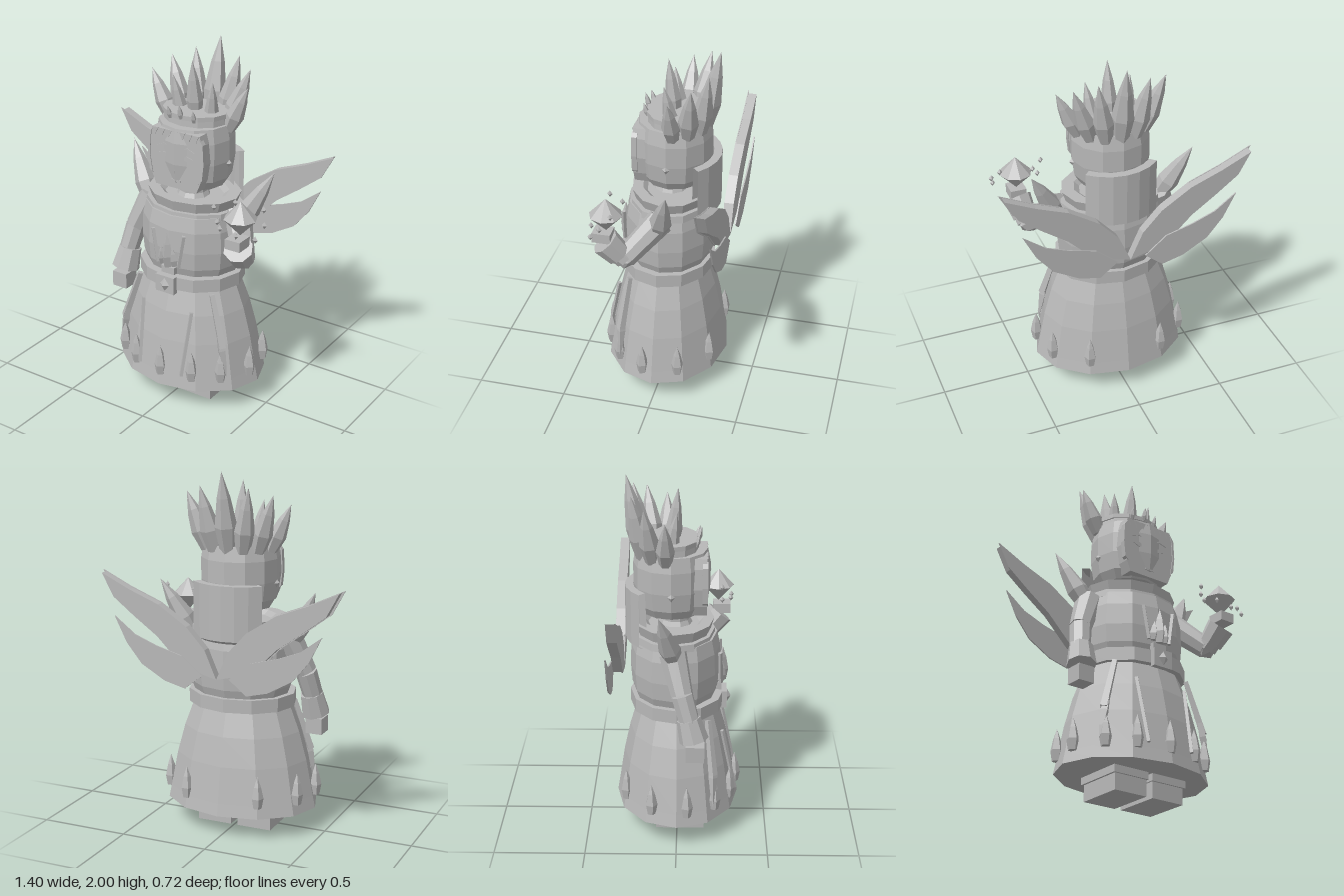
import * as THREE from 'three';

const V = (x, y, z) => new THREE.Vector3(x, y, z);

export function createModel() {
  const model = new THREE.Group();
  const grey = new THREE.MeshStandardMaterial({ color: 0xb8b8b8, flatShading: true, side: THREE.DoubleSide });
  grey.name = 'stone grey';

  const add = (name, geo, x = 0, y = 0, z = 0) => {
    const m = new THREE.Mesh(geo, grey);
    m.name = name;
    m.position.set(x, y, z);
    model.add(m);
    return m;
  };
  const box = (name, w, h, d, x, y, z) => add(name, new THREE.BoxGeometry(w, h, d), x, y, z);

  // closed faceted solid from [radius, y] pairs, squashed in depth
  const turned = (name, profile, depth, z = 0, sides = 12) => {
    const pts = [[0, profile[0][1]], ...profile, [0, profile.at(-1)[1]]].map(([r, y]) => new THREE.Vector2(r, y));
    return add(name, new THREE.LatheGeometry(pts, sides).scale(1, 1, depth), 0, 0, z);
  };

  // crystal spike that swells a third of the way up, aimed from base to tip
  const spike = (name, base, tip, r, sides = 6) => {
    const h = base.distanceTo(tip);
    const pts = [[0, 0], [r * 0.7, 0], [r, h * 0.32], [r * 0.6, h * 0.68], [0, h]].map(p => new THREE.Vector2(...p));
    const m = add(name, new THREE.LatheGeometry(pts, sides), base.x, base.y, base.z);
    m.quaternion.setFromUnitVectors(V(0, 1, 0), tip.clone().sub(base).normalize());
    return m;
  };

  // tapered limb piece between two points
  const limb = (name, a, b, ra, rb, sides = 8) => {
    const m = add(name, new THREE.CylinderGeometry(rb, ra, a.distanceTo(b), sides));
    m.position.copy(a).add(b).multiplyScalar(0.5);
    m.quaternion.setFromUnitVectors(V(0, 1, 0), b.clone().sub(a).normalize());
    return m;
  };
  const gem = (name, rx, ry, rz, x, y, z) =>
    add(name, new THREE.OctahedronGeometry(1).scale(rx, ry, rz), x, y, z);

  // flat plate cut from an outline, mirrored when s = -1
  const plate = (name, pts, thick, z, s = 1, curved = false) => {
    const p = pts.map(([x, y]) => new THREE.Vector2(x * s, y));
    const shape = new THREE.Shape(curved ? new THREE.SplineCurve([...p, p[0]]).getPoints(24) : p);
    return add(name, new THREE.ExtrudeGeometry(shape, { depth: thick, bevelEnabled: false }), 0, 0, z);
  };

  // gown, belt, bodice and collar
  turned('skirt', [[0.44, 0.13], [0.425, 0.2], [0.385, 0.4], [0.34, 0.56], [0.29, 0.69], [0.27, 0.74]], 0.78);
  turned('belt', [[0.307, 0.7], [0.307, 0.775]], 0.85);
  turned('bodice', [[0.27, 0.77], [0.29, 0.82], [0.3, 0.92], [0.295, 1.04], [0.275, 1.12]], 0.83, -0.01);
  turned('collarBand', [[0.285, 1.1], [0.28, 1.14]], 0.8, -0.02);
  turned('collar', [[0.245, 1.13], [0.27, 1.2], [0.2, 1.2], [0.17, 1.175]], 0.82, -0.02);
  turned('neck', [[0.1, 1.16], [0.08, 1.2], [0.08, 1.28]], 1, -0.01, 10);
  box('buckle', 0.12, 0.1, 0.03, 0, 0.73, 0.26);
  gem('buckleGem', 0.03, 0.04, 0.022, 0, 0.73, 0.276);
  box('bodiceClasp', 0.085, 0.04, 0.03, 0, 0.805, 0.23);

  // standing panel behind the head
  const panel = [[0.25, 1.08], [0.285, 1.1], [0.285, 1.4], [0.24, 1.4], [0.225, 1.1], [0.25, 1.08]];
  add('backPanel', new THREE.LatheGeometry(panel.map(p => new THREE.Vector2(...p)), 6, Math.PI * 0.75, Math.PI * 0.5));

  // chest crystals
  spike('chestCrystal', V(0, 0.83, 0.245), V(0, 1.03, 0.25), 0.035, 4);
  for (const s of [-1, 1]) {
    spike('chestSideCrystal', V(0.04 * s, 0.84, 0.24), V(0.035 * s, 0.95, 0.25), 0.025, 4);
    limb('chestStrip', V(0.068 * s, 0.84, 0.24), V(0.1 * s, 1.03, 0.235), 0.012, 0.012, 4);
    // feet
    box('foot', 0.2, 0.13, 0.27, 0.12 * s, 0.065, 0.015);
    box('footCuff', 0.22, 0.05, 0.29, 0.122 * s, 0.115, 0.015);
    // skirt ribbons
    limb('frontRibbon', V(0.14 * s, 0.22, 0.325), V(0.16 * s, 0.59, 0.25), 0.012, 0.012, 4);
    limb('sideRibbon', V(0.33 * s, 0.4, 0.2), V(0.24 * s, 0.69, 0.17), 0.025, 0.018, 4);
    spike('sideRibbonPoint', V(0.31 * s, 0.46, 0.2), V(0.36 * s, 0.22, 0.2), 0.025, 4);
    // shoulder spikes
    spike('shoulderSpike', V(0.29 * s, 1.05, -0.01), V(0.46 * s, 1.37, -0.09), 0.06);
    gem('earring', 0.02, 0.025, 0.02, 0.21 * s, 1.39, -0.03);
  }

  // crystals around the hem
  for (const deg of [0, 26, 50, 80, 115, 150])
    for (const s of deg ? [-1, 1] : [1]) {
      const a = THREE.MathUtils.degToRad(deg) * s;
      const x = Math.sin(a), z = Math.cos(a);
      spike('hemCrystal', V(0.425 * x, 0.19, 0.325 * z), V(0.425 * x, 0.37, 0.325 * z), 0.034, 5);
    }

  // head and face
  turned('head', [[0.17, 1.25], [0.2, 1.3], [0.215, 1.4], [0.215, 1.52], [0.2, 1.6]], 0.97, -0.03);
  const face = [[-0.13, 1.26], [0.13, 1.26], [0.155, 1.32], [0.172, 1.42], [0.165, 1.53], [0.15, 1.585], [-0.15, 1.585], [-0.165, 1.53], [-0.172, 1.42], [-0.155, 1.32]];
  plate('face', face, 0.125, 0.035);
  spike('nose', V(0, 1.345, 0.16), V(0, 1.41, 0.16), 0.015, 4);
  box('mouth', 0.06, 0.01, 0.006, 0, 1.305, 0.161);
  for (const s of [-1, 1]) {
    plate('eye', [[0.035, 1.44], [0.07, 1.458], [0.11, 1.445], [0.07, 1.428]], 0.005, 0.159, s);
    plate('brow', [[0.03, 1.482], [0.07, 1.498], [0.12, 1.485], [0.07, 1.507]], 0.005, 0.159, s);
    plate('faceLock', [[0.15, 1.57], [0.16, 1.53], [0.165, 1.42], [0.148, 1.32], [0.168, 1.34], [0.178, 1.43], [0.172, 1.54]], 0.03, 0.135, s);
  }
  for (let i = -3; i <= 3; i++)
    plate('fringe', [[i * 0.043 - 0.018, 1.585], [i * 0.043 + 0.018, 1.585], [i * 0.043, 1.545]], 0.005, 0.159);

  // crown
  turned('crownBand', [[0.185, 1.59], [0.18, 1.65]], 0.78, -0.03);
  turned('crownRim', [[0.19, 1.635], [0.19, 1.66]], 0.78, -0.03);
  spike('crownSpike', V(0, 1.57, -0.19), V(0, 2.0, -0.27), 0.06);
  spike('crownSpike', V(0, 1.6, -0.03), V(0, 1.93, 0.005), 0.045);
  spike('crownJewel', V(0, 1.64, 0.11), V(0, 1.72, 0.13), 0.016, 5);
  const crown = [ // base x, z, then tip x, y, z, then radius
    [0.08, -0.18, 0.14, 1.92, -0.24, 0.055],
    [0.145, -0.13, 0.25, 1.88, -0.17, 0.055],
    [0.19, -0.06, 0.305, 1.82, -0.06, 0.05],
    [0.09, -0.04, 0.125, 1.83, 0.0, 0.04],
  ];
  for (const s of [-1, 1]) {
    for (const [bx, bz, tx, ty, tz, r] of crown)
      spike('crownSpike', V(bx * s, 1.57, bz), V(tx * s, ty, tz), r);
    spike('crownJewel', V(0.075 * s, 1.63, 0.1), V(0.08 * s, 1.7, 0.12), 0.015, 5);
  }

  // lowered right arm
  const rs = V(-0.28, 1.1, -0.02), re = V(-0.365, 0.9, 0.03), rw = V(-0.4, 0.72, 0.08);
  limb('rightUpperArm', rs, re, 0.075, 0.06);
  limb('rightForearm', re, rw, 0.06, 0.055);
  limb('rightCuff', V(-0.4, 0.65, 0.095), V(-0.385, 0.77, 0.065), 0.08, 0.065);
  box('rightHand', 0.095, 0.09, 0.1, -0.405, 0.585, 0.1);

  // raised left arm
  const ls = V(0.28, 1.12, -0.02), le = V(0.42, 0.95, 0.14), lw = V(0.44, 1.04, 0.23);
  limb('leftUpperArm', ls, le, 0.075, 0.06);
  add('leftElbow', new THREE.IcosahedronGeometry(0.06), le.x, le.y, le.z);
  limb('leftForearm', le, lw, 0.06, 0.06);
  limb('leftCuff', V(0.425, 0.97, 0.17), V(0.445, 1.055, 0.24), 0.068, 0.08);
  box('leftHand', 0.09, 0.055, 0.1, 0.445, 1.095, 0.25);

  // floating gem with small shards circling it
  const orb = turned('floatingGem', [[0.088, 0]], 1, 0, 8);
  orb.geometry.dispose();
  orb.geometry = new THREE.LatheGeometry([[0, -0.095], [0.09, 0], [0, 0.095]].map(p => new THREE.Vector2(...p)), 8);
  orb.position.set(0.45, 1.225, 0.23);
  const shards = [[0.3, 1.26, 0.25], [0.375, 1.27, 0.16], [0.32, 1.18, 0.25], [0.37, 1.175, 0.3], [0.555, 1.28, 0.175], [0.59, 1.22, 0.225], [0.57, 1.155, 0.28], [0.47, 1.16, 0.305]];
  for (const p of shards) gem('shard', 0.015, 0.02, 0.015, ...p);

  // wings
  const upper = [[0.0, 0.9], [0.2, 0.95], [0.36, 1.11], [0.5, 1.21], [0.63, 1.31], [0.7, 1.44], [0.53, 1.36], [0.35, 1.29], [0.18, 1.18], [0.07, 1.06]];
  const lower = [[0.08, 0.92], [0.18, 0.84], [0.3, 0.87], [0.44, 0.95], [0.53, 1.06], [0.6, 1.2], [0.48, 1.11], [0.35, 1.06], [0.2, 1.02]];
  for (const s of [-1, 1]) {
    plate('upperWing', upper.map(([x, y]) => [x * 0.975, (y - 1.1) * 0.97 + 1.1]), 0.05, -0.345, s);
    plate('upperWingTrim', upper, 0.006, -0.298, s);
    plate('lowerWing', lower, 0.008, -0.359, s);
  }
  return model;
}
